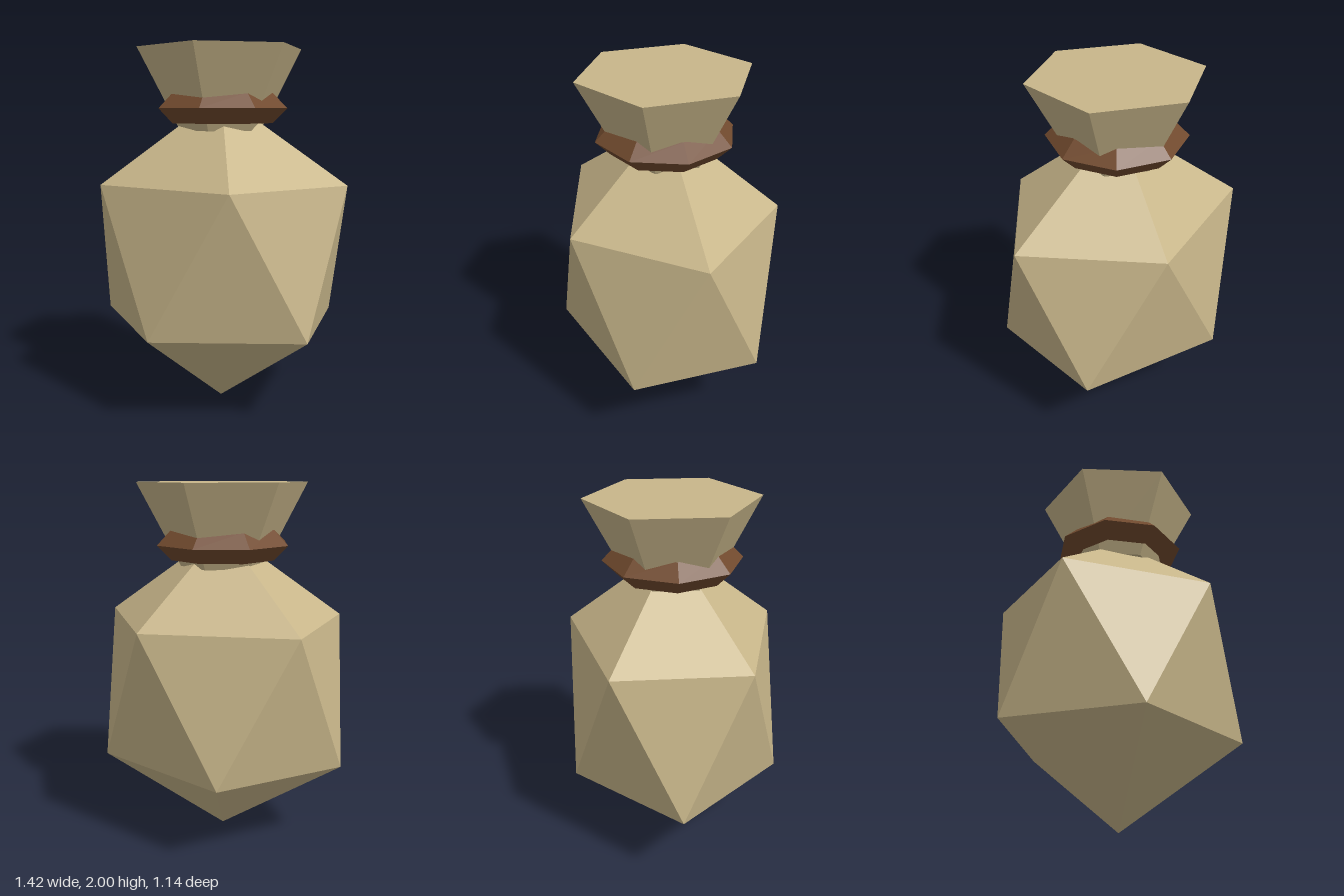
import * as THREE from 'three';

export function createModel() {
  const cloth = new THREE.MeshStandardMaterial({ color: 0xc8b68a, flatShading: true });
  cloth.name = 'cloth';
  const cord = new THREE.MeshStandardMaterial({ color: 0x714a2e, flatShading: true });
  cord.name = 'cord';

  const group = new THREE.Group();
  group.name = 'tiedSack';
  const add = (name, geometry, material, y) => {
    const mesh = new THREE.Mesh(geometry, material);
    mesh.name = name;
    mesh.position.y = y;
    group.add(mesh);
  };

  // Sack body: icosahedron turned to stand on one corner, then stretched
  const golden = (1 + Math.sqrt(5)) / 2;
  const body = new THREE.IcosahedronGeometry(1, 0);
  body.rotateZ(-Math.atan(1 / golden));
  body.scale(0.792, 0.875, 0.673);
  add('sackBody', body, cloth, 0.875);

  // Gathered neck: closed six-sided flare, widest at the top
  const neckHeight = 0.445;
  add('sackNeck', new THREE.CylinderGeometry(0.462, 0.231, neckHeight, 6), cloth, 2 - neckHeight / 2);

  // Cord: eight-sided ring with a diamond section
  const ring = new THREE.TorusGeometry(0.294, 0.08, 4, 8);
  ring.rotateX(Math.PI / 2);
  add('tieCord', ring, cord, 1.675);

  return group;
}
